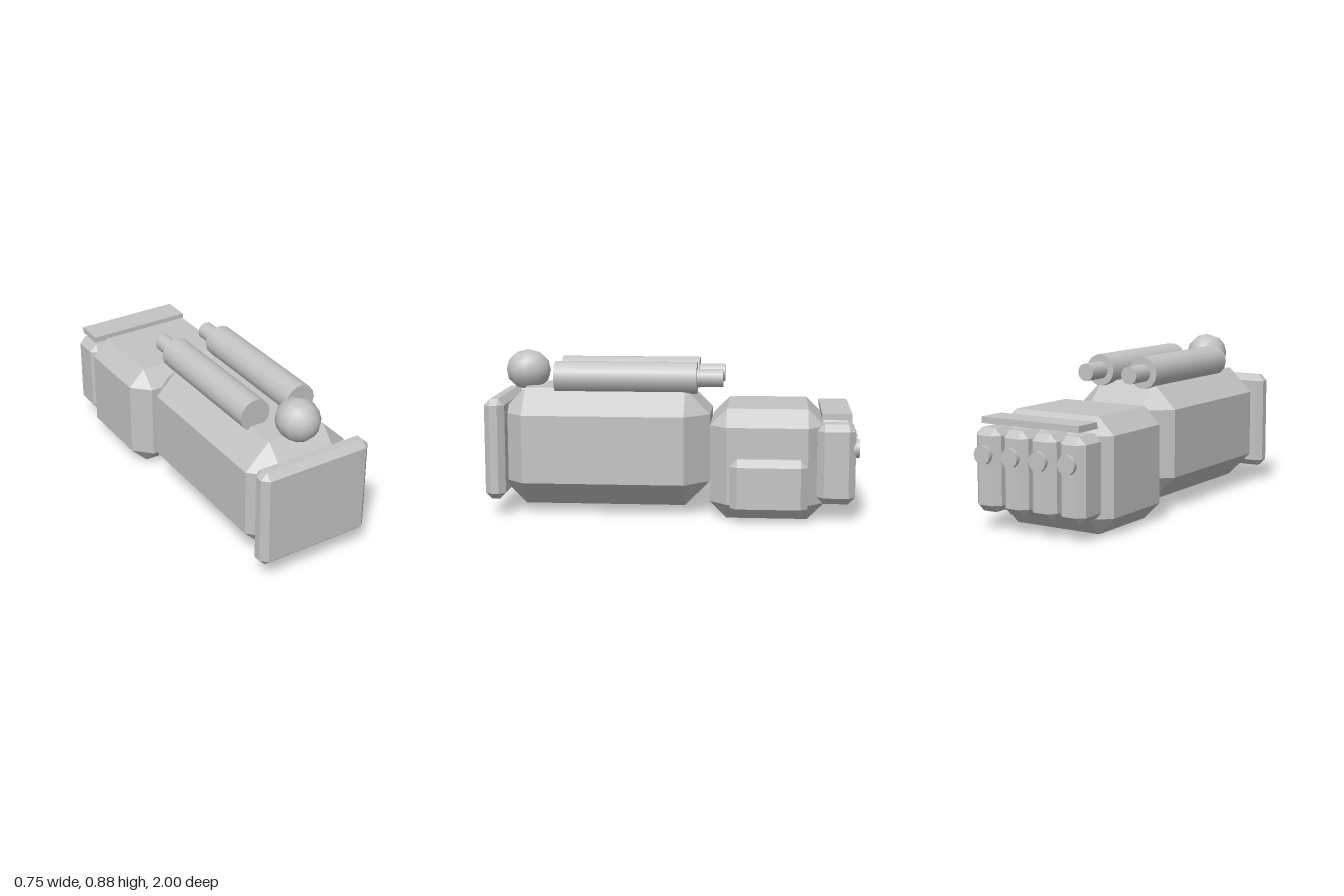
import * as THREE from 'three';
import { ConvexGeometry } from 'three/addons/geometries/ConvexGeometry.js';

const AXIS_X = -0.035; // centre line of the arm

// Box with every edge cut at 45 degrees, given by its limits (low, high)
function chamferBox([x0, x1], [y0, y1], [z0, z1], c) {
  const half = [(x1 - x0) / 2, (y1 - y0) / 2, (z1 - z0) / 2];
  const points = [];
  for (const sx of [-1, 1]) for (const sy of [-1, 1]) for (const sz of [-1, 1]) {
    const s = [sx, sy, sz];
    for (let face = 0; face < 3; face++) {
      const p = half.map((h, i) => s[i] * (i === face ? h : h - c));
      points.push(new THREE.Vector3(...p));
    }
  }
  return new ConvexGeometry(points)
    .translate((x0 + x1) / 2, (y0 + y1) / 2, (z0 + z1) / 2);
}

// Cylinder running along z, with a corner on each side
function rodZ(radius, x, y, z0, z1, sides) {
  return new THREE.CylinderGeometry(radius, radius, z1 - z0, sides)
    .rotateY(Math.PI / 2)
    .rotateX(Math.PI / 2)
    .translate(x, y, (z0 + z1) / 2);
}

export function createModel() {
  const model = new THREE.Group();
  model.name = 'gauntlet';
  const grey = new THREE.MeshStandardMaterial({ color: 0xc4c4c4 });
  grey.name = 'grey metal';

  const add = (name, geometry) => {
    const mesh = new THREE.Mesh(geometry, grey);
    mesh.name = name;
    model.add(mesh);
    return mesh;
  };

  // Arm and hand blocks
  add('cuff', chamferBox([-0.355, 0.285], [0.093, 0.638], [0.89, 1], 0.034));
  add('forearm', chamferBox([-0.333, 0.262], [0.048, 0.685], [-0.206, 0.935], 0.135));
  add('hand', chamferBox([-0.377, 0.306], [0.003, 0.595], [-0.82, -0.21], 0.09));
  add('thumb', chamferBox([0.265, 0.375], [0.046, 0.343], [-0.73, -0.32], 0.038));

  // Flat guard floating above the knuckles
  add('knucklePlate', new THREE.BoxGeometry(0.589, 0.033, 0.157))
    .position.set(-0.032, 0.563, -0.879);

  // Four fingers, each with a round stud at the end
  for (let i = 0; i < 4; i++) {
    const x = -0.281 + i * 0.17;
    add('finger', chamferBox([x - 0.076, x + 0.076], [0.098, 0.525], [-0.98, -0.777], 0.037));
    add('fingerStud', rodZ(0.05, x + 0.003, 0.392, -1, -0.94, 12));
  }

  // Twin cylinders on top, with pistons reaching toward the hand
  for (const side of [-1, 1]) {
    const x = AXIS_X + side * 0.136;
    add('cylinder', rodZ(0.086, x, 0.743, -0.135, 0.635, 14));
    add('piston', rodZ(0.048, x, 0.743, -0.275, -0.12, 12));
  }

  // Ball behind the cuff, its poles along z
  const ball = add('ball', new THREE.SphereGeometry(0.113, 12, 6).rotateX(Math.PI / 2));
  ball.scale.z = 1.09;
  ball.position.set(AXIS_X, 0.765, 0.808);

  return model;
}
